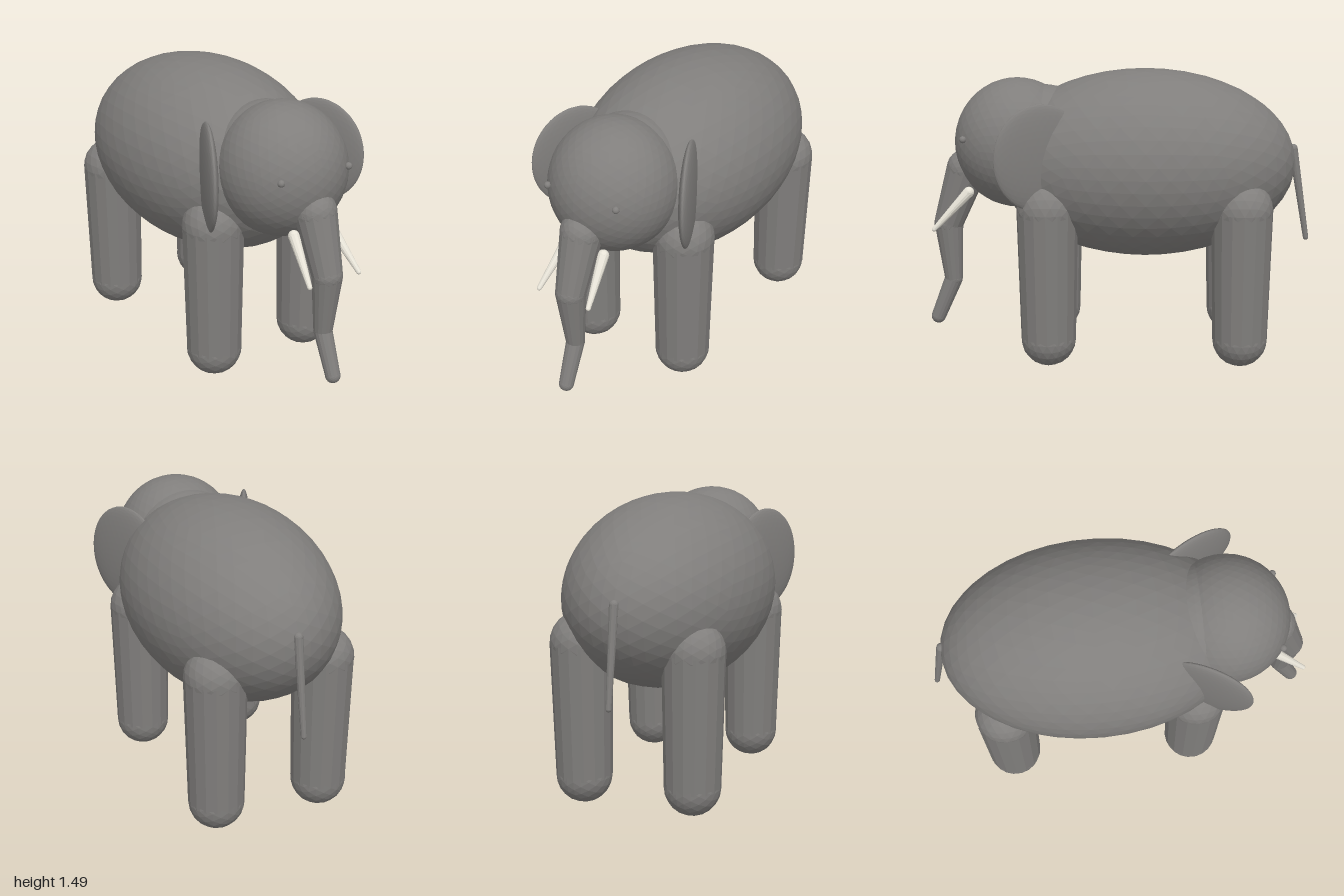
import * as THREE from 'three';

const hide = new THREE.MeshStandardMaterial({ color: 0x807e7c, flatShading: true });
hide.name = 'grey hide';
const ivory = new THREE.MeshStandardMaterial({ color: 0xeae6da, flatShading: true });
ivory.name = 'ivory';

// Faceted ellipsoid
function ball(name, pos, radii, detail, mat = hide) {
  const mesh = new THREE.Mesh(new THREE.IcosahedronGeometry(1, detail), mat);
  mesh.name = name;
  mesh.position.set(...pos);
  mesh.scale.set(...radii);
  return mesh;
}

// Chain of tapered tubes with rounded joints; each point is [x, y, z, radius]
function limb(name, points, sides, detail, mat = hide) {
  const group = new THREE.Group();
  group.name = name;
  points.forEach(([x, y, z, r], i) => {
    group.add(ball(name + 'Joint', [x, y, z], [r, r, r], detail, mat));
    if (i === 0) return;
    const [px, py, pz, pr] = points[i - 1];
    const a = new THREE.Vector3(px, py, pz);
    const b = new THREE.Vector3(x, y, z);
    const dir = a.clone().sub(b);
    const tube = new THREE.Mesh(
      new THREE.CylinderGeometry(pr, r, dir.length(), sides, 1, true), mat);
    tube.name = name + 'Segment';
    tube.position.copy(a).add(b).multiplyScalar(0.5);
    tube.quaternion.setFromUnitVectors(new THREE.Vector3(0, 1, 0), dir.normalize());
    group.add(tube);
  });
  return group;
}

export function createModel() {
  const model = new THREE.Group();
  model.name = 'elephant';

  // Body, neck and head
  model.add(
    ball('body', [0, 1.018, -0.138], [0.505, 0.484, 0.777], 7),
    ball('neck', [0, 1.105, 0.39], [0.3, 0.315, 0.3], 7),
    ball('head', [0, 1.12, 0.523], [0.323, 0.335, 0.323], 7),
  );

  // Trunk and tail
  model.add(
    limb('trunk', [
      [0, 0.978, 0.79, 0.106],
      [0, 0.69, 0.893, 0.076],
      [0, 0.385, 0.875, 0.047],
      [0, 0.175, 0.962, 0.038],
    ], 16, 3),
    limb('tail', [
      [0, 1.09, -0.905, 0.023],
      [0, 0.615, -0.984, 0.014],
    ], 12, 2),
  );

  for (const [side, s] of [['left', 1], ['right', -1]]) {
    // Legs
    for (const [end, z] of [['Front', 0.355], ['Back', -0.625]]) {
      model.add(limb(side + end + 'Leg', [
        [s * 0.29, 0.825, z, 0.155],
        [s * 0.285, 0.148, z, 0.14],
      ], 16, 3));
    }

    // Ear: thin ellipsoid flaring outwards to the front
    const ear = ball(side + 'Ear', [s * 0.34, 1.1, 0.385], [0.038, 0.27, 0.245], 7);
    ear.rotation.y = s * 0.45;
    model.add(ear);

    // Eye and tusk
    model.add(
      ball(side + 'Eye', [s * 0.2, 1.167, 0.782], [0.018, 0.018, 0.018], 2),
      limb(side + 'Tusk', [
        [s * 0.11, 0.877, 0.77, 0.028],
        [s * 0.148, 0.688, 0.949, 0.012],
      ], 12, 2, ivory),
    );
  }

  return model;
}
